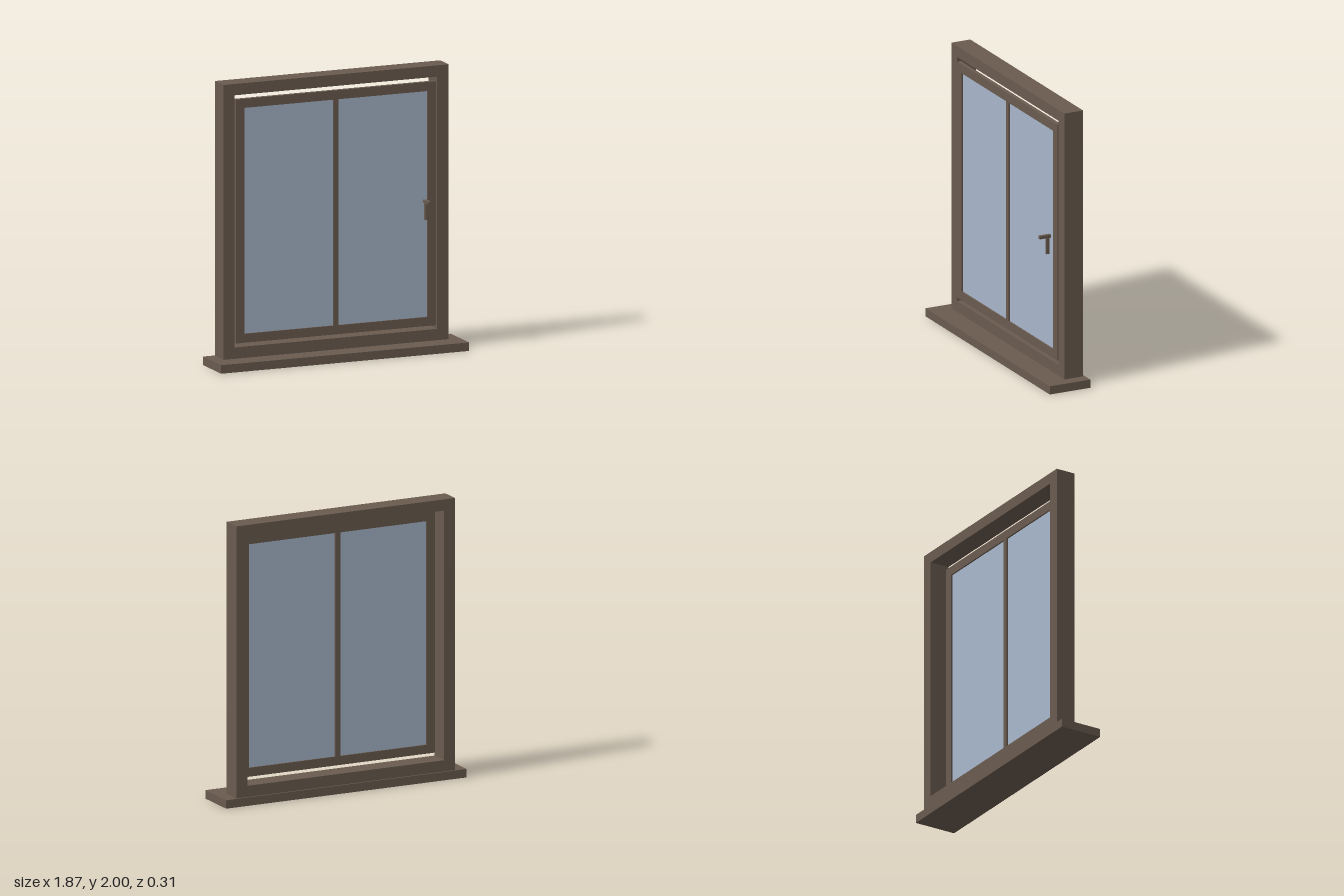
import * as THREE from 'three';

export function createModel() {
  const group = new THREE.Group();
  const wood = new THREE.MeshStandardMaterial({ color: 0x6a5b4f });
  wood.name = 'brown wood';
  const glass = new THREE.MeshStandardMaterial({ color: 0xa8b7cb });
  glass.name = 'pale blue glass';

  // Box given by its extents on each axis
  function box(name, material, [x0, x1], [y0, y1], [z0, z1]) {
    const mesh = new THREE.Mesh(new THREE.BoxGeometry(x1 - x0, y1 - y0, z1 - z0), material);
    mesh.position.set((x0 + x1) / 2, (y0 + y1) / 2, (z0 + z1) / 2);
    mesh.name = name;
    group.add(mesh);
  }

  // Rectangle outline from its extents
  function rectangle(path, [x0, x1], [y0, y1]) {
    path.moveTo(x0, y0);
    path.lineTo(x1, y0);
    path.lineTo(x1, y1);
    path.lineTo(x0, y1);
    path.closePath();
    return path;
  }

  // Rectangular frame with rectangular openings
  function frame(name, xs, ys, openings, [z0, z1]) {
    const shape = rectangle(new THREE.Shape(), xs, ys);
    for (const [ox, oy] of openings) shape.holes.push(rectangle(new THREE.Path(), ox, oy));
    const geometry = new THREE.ExtrudeGeometry(shape, { depth: z1 - z0, bevelEnabled: false });
    geometry.translate(0, 0, z0);
    const mesh = new THREE.Mesh(geometry, wood);
    mesh.name = name;
    group.add(mesh);
  }

  // Sill and fixed outer frame
  box('sill', wood, [-0.935, 0.935], [0, 0.06], [-0.157, 0.157]);
  frame('outerFrame', [-0.85, 0.85], [0.06, 2], [[[-0.765, 0.762], [0.14, 1.92]]], [-0.145, 0]);

  // Sash with a central mullion, set near the front with a gap all round
  const panes = [[-0.692, -0.021], [0.017, 0.688]];
  const paneHeight = [0.231, 1.826];
  frame('sash', [-0.757, 0.753], [0.168, 1.89], panes.map((p) => [p, paneHeight]), [-0.025, 0.005]);

  // Glass panes
  panes.forEach((p, i) => box(i ? 'leftPane' : 'rightPane', glass, p, paneHeight, [-0.014, -0.006]));

  // Handle: stem reaching forward and grip hanging down
  box('handleStem', wood, [0.65, 0.675], [1.043, 1.065], [0.013, 0.1]);
  box('handleGrip', wood, [0.653, 0.672], [0.926, 1.043], [0.026, 0.047]);

  return group;
}
